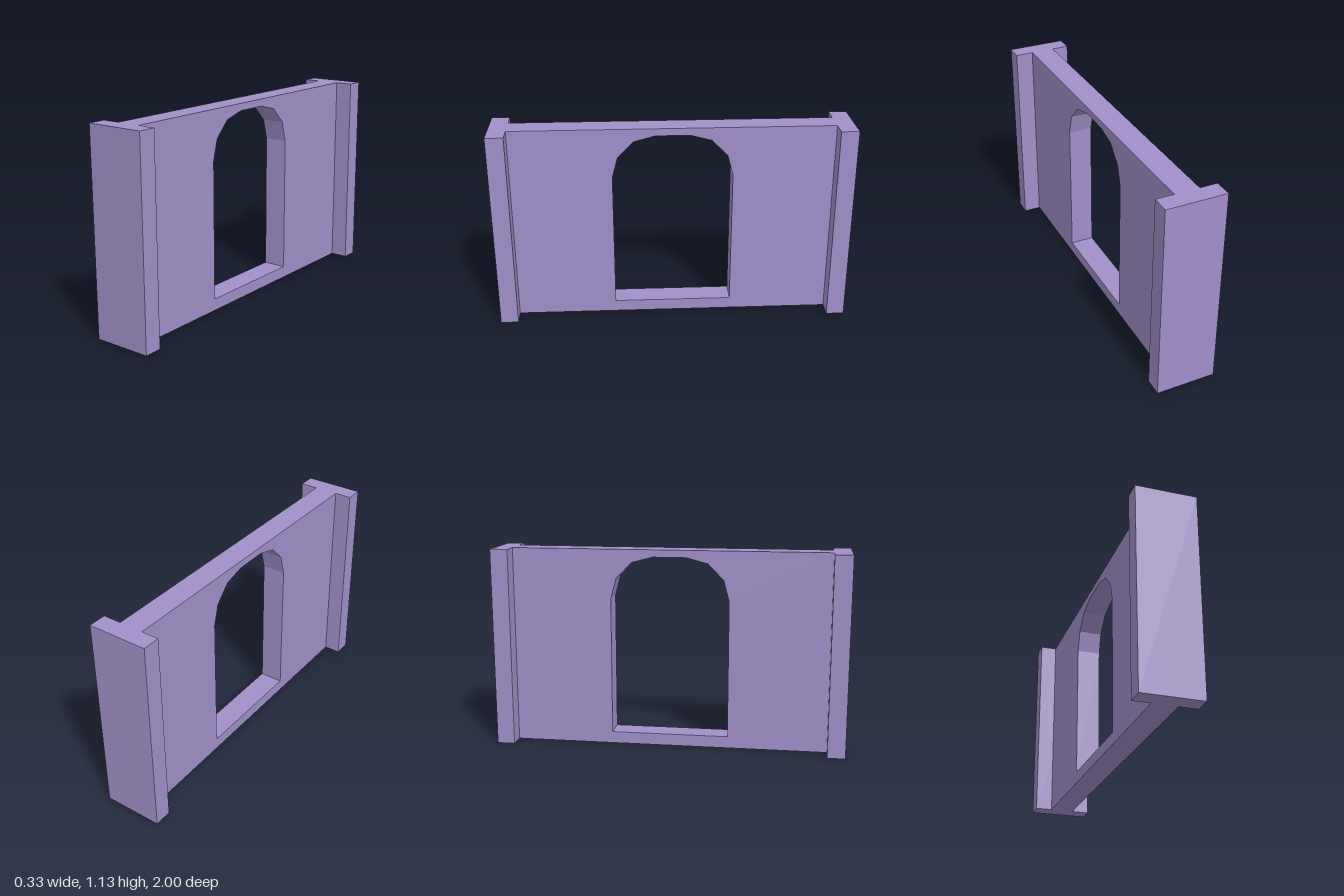
import * as THREE from 'three';

const HEIGHT = 1.133;
const WALL_HALF = 0.9;

export function createModel() {
  const group = new THREE.Group();
  group.name = 'archedWall';
  const material = new THREE.MeshStandardMaterial({ color: 0xa08fc8, flatShading: true });

  // Wall panel outline with a faceted arched doorway
  const outline = new THREE.Shape([
    [-WALL_HALF, 0], [WALL_HALF, 0], [WALL_HALF, HEIGHT], [-WALL_HALF, HEIGHT],
  ].map(([x, y]) => new THREE.Vector2(x, y)));
  const half = [[0.335, 0.067], [0.335, 0.852], [0.303, 0.97], [0.215, 1.06], [0.094, 1.092]];
  const mirrored = half.map(([x, y]) => [-x, y]).reverse();
  outline.holes.push(new THREE.Path(
    [...half, ...mirrored].map(([x, y]) => new THREE.Vector2(x, y))
  ));

  const wallGeometry = new THREE.ExtrudeGeometry(outline, { depth: 0.136, bevelEnabled: false });
  wallGeometry.rotateY(Math.PI / 2).translate(-0.07, 0, 0);
  const wall = new THREE.Mesh(wallGeometry, material);
  wall.name = 'wallWithDoorway';
  group.add(wall);

  // Pillar closing each end of the wall
  for (const side of [1, -1]) {
    const pillar = new THREE.Mesh(new THREE.BoxGeometry(0.334, HEIGHT, 0.1), material);
    pillar.name = side > 0 ? 'frontPillar' : 'backPillar';
    pillar.position.set(0, HEIGHT / 2, side * 0.95);
    group.add(pillar);
  }
  return group;
}
